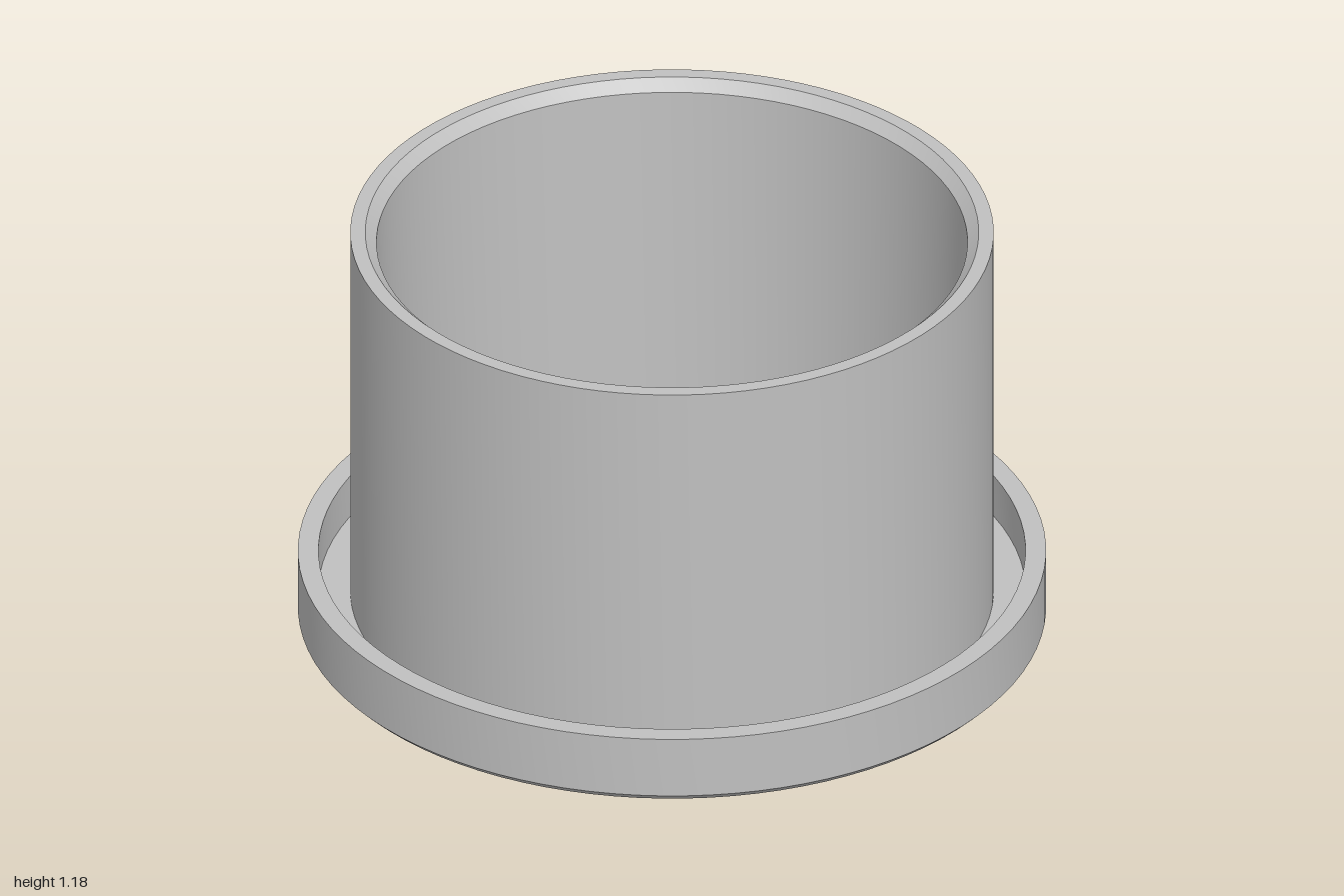
import * as THREE from 'three';
import { toCreasedNormals } from 'three/addons/utils/BufferGeometryUtils.js';

const SEGMENTS = 96;
const FLOOR = 0.07; // top of the tray floor
const TOP = 1.18; // rim of the cup

const grey = new THREE.MeshStandardMaterial({ color: 0xc0c0c0 });
grey.name = 'plain grey';

// Turns a profile of [radius, height] points, listed up the outside and down the inside
function turned(name, profile) {
  const points = profile.map(([r, y]) => new THREE.Vector2(r, y));
  const geometry = toCreasedNormals(new THREE.LatheGeometry(points, SEGMENTS), 0.3);
  const mesh = new THREE.Mesh(geometry, grey);
  mesh.name = name;
  return mesh;
}

export function createModel() {
  const model = new THREE.Group();
  model.name = 'cupOnTray';

  // Shallow tray with a chamfered bottom edge
  model.add(turned('tray', [
    [0, 0], [0.98, 0], [1, 0.02], [1, 0.195], [0.945, 0.195], [0.945, FLOOR], [0, FLOOR],
  ]));

  // Open wall with a bevelled inner rim and a slightly tapered bore
  model.add(turned('cupWall', [
    [0.86, FLOOR], [0.86, TOP], [0.82, TOP], [0.79, TOP - 0.03], [0.76, FLOOR],
  ]));

  // Small stepped nib in the middle of the floor
  model.add(turned('centreNib', [
    [0.06, FLOOR], [0.035, FLOOR + 0.05], [0.02, FLOOR + 0.1], [0, FLOOR + 0.1],
  ]));

  return model;
}
